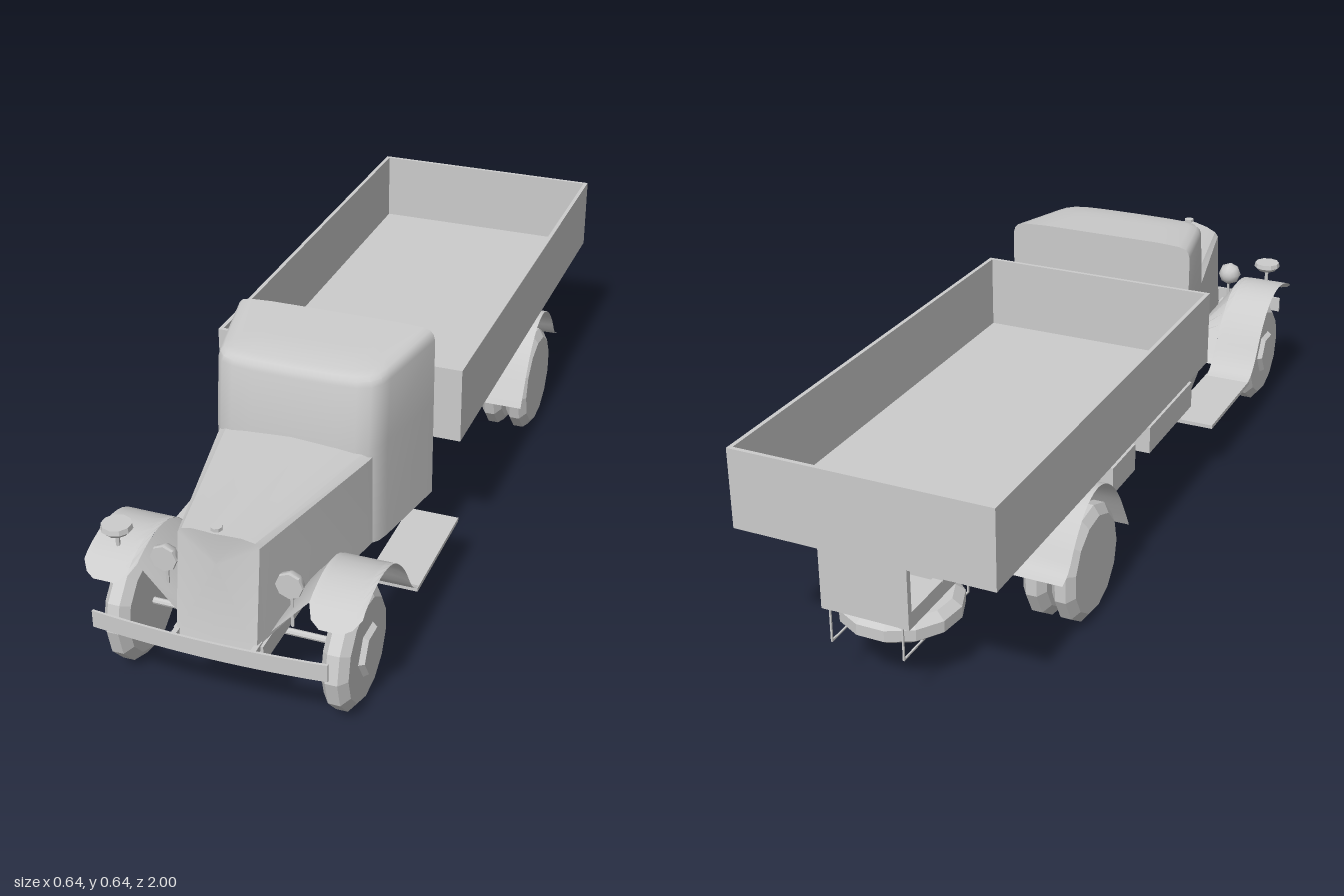
import * as THREE from 'three';
import { toCreasedNormals } from 'three/addons/utils/BufferGeometryUtils.js';

const smooth = new THREE.MeshStandardMaterial({ color: 0xcccccc });
const flat = new THREE.MeshStandardMaterial({ color: 0xcccccc, flatShading: true });
const thin = new THREE.MeshStandardMaterial({ color: 0xcccccc, side: THREE.DoubleSide });

function add(parent, name, geometry, material = flat, x = 0, y = 0, z = 0) {
  const mesh = new THREE.Mesh(geometry, material);
  mesh.name = name;
  mesh.position.set(x, y, z);
  parent.add(mesh);
  return mesh;
}

// Box given by its limits on each axis
function box(parent, name, [x0, x1], [y0, y1], [z0, z1]) {
  return add(parent, name, new THREE.BoxGeometry(x1 - x0, y1 - y0, z1 - z0), flat,
    (x0 + x1) / 2, (y0 + y1) / 2, (z0 + z1) / 2);
}

// Cylinder lying along x
function rod(parent, name, r, x0, x1, y, z, sides = 8) {
  const geometry = new THREE.CylinderGeometry(r, r, x1 - x0, sides).rotateZ(Math.PI / 2);
  return add(parent, name, geometry, flat, (x0 + x1) / 2, y, z);
}

// Skin over rows of [x, y, z] points; closed rows get end caps
function skin(rows, closed, crease = 0.5) {
  const pos = [];
  const tri = (...points) => points.forEach(p => pos.push(...p));
  const n = rows[0].length;
  for (let j = 0; j < rows.length - 1; j++) {
    for (let i = 0; i < (closed ? n : n - 1); i++) {
      const k = (i + 1) % n, a = rows[j], b = rows[j + 1];
      tri(a[i], a[k], b[k]);
      tri(a[i], b[k], b[i]);
    }
  }
  if (closed) {
    [rows[0], rows[rows.length - 1]].forEach((row, end) => {
      const mid = [0, 1, 2].map(c => row.reduce((s, p) => s + p[c], 0) / n);
      row.forEach((p, i) => {
        const q = row[(i + 1) % n];
        if (end) tri(mid, p, q); else tri(mid, q, p);
      });
    });
  }
  const geometry = new THREE.BufferGeometry();
  geometry.setAttribute('position', new THREE.Float32BufferAttribute(pos, 3));
  return toCreasedNormals(geometry, crease);
}

// Smooth curve through [z, y] points
const sideCurve = pts => new THREE.CatmullRomCurve3(pts.map(([z, y]) => new THREE.Vector3(0, y, z)));

function cab() {
  const zb = 0.235;
  const layer = ([y, inset, zf, tilt]) => {
    const f = zf - inset;
    const half = [[0.1, f + 0.008], [0.15, f + 0.003], [0.18, f - 0.008],
      [0.198, f - 0.03], [0.207, f - 0.06], [0.247, zb]]
      .map(([x, z]) => [x * (1 - inset / 0.247), z]);
    const loop = [[0, f + 0.01], ...half, ...half.map(([x, z]) => [-x, z]).reverse()];
    return loop.map(([x, z]) => [x, y - tilt * (z - zb) / 0.25, z]);
  };
  return skin([[0.2, 0, 0.505, 0], [0.45, 0, 0.505, 0], [0.612, 0, 0.485, 0.012], [0.626, 0.004, 0.485, 0.014],
    [0.635, 0.012, 0.485, 0.015], [0.64, 0.03, 0.485, 0.015], [0.643, 0.09, 0.485, 0.012]].map(layer), true, 0.6);
}

// Hood sections run from the windscreen to the pointed radiator front
function hood() {
  const section = ([z, w, bottom, dip, vee, lean]) => {
    const half = [[w, bottom], [w, 0.43], [w * 0.9, 0.441], [w * 0.6, 0.451], [w * 0.25, 0.456]];
    const loop = [[0, bottom - dip], ...half, [0, 0.459],
      ...half.map(([x, y]) => [-x, y]).reverse()];
    return loop.map(([x, y]) =>
      [x, y, z + vee * (1 - Math.abs(x) / w) + lean * (0.459 - y) / 0.26]);
  };
  return skin([[0.47, 0.19, 0.2, 0, 0, 0], [0.51, 0.183, 0.2, 0, 0, 0],
    [0.88, 0.098, 0.2, 0.01, 0.015, 0.03], [0.9, 0.093, 0.19, 0.02, 0.025, 0.037]].map(section), true, 0.35);
}

function wheel(parent, name, x, z, h, hub) {
  const g = new THREE.Group();
  g.name = name;
  const profile = [[0, -h], [0.118, -h], [0.134, -h * 0.6], [0.14, -h * 0.45],
    [0.14, h * 0.45], [0.134, h * 0.6], [0.118, h], [0, h]].map(p => new THREE.Vector2(...p));
  add(g, 'tyre', new THREE.LatheGeometry(profile, 13));
  if (hub) add(g, 'hub', new THREE.CylinderGeometry(0.052, 0.062, 0.014, 6), flat, 0, h + 0.005, 0);
  g.rotation.z = x > 0 ? -Math.PI / 2 : Math.PI / 2;
  g.position.set(x, 0.141, z);
  parent.add(g);
  return g;
}

function frontFender(parent, s) {
  const curve = sideCurve([[0.94, 0.287], [0.89, 0.323], [0.8, 0.345], [0.72, 0.327],
    [0.65, 0.265], [0.6, 0.19], [0.57, 0.16], [0.545, 0.15]]);
  const columns = [[0.198, 0.12], [0.212, 0.04], [0.235, 0], [0.285, 0], [0.305, 0.03], [0.32, 0.09]];
  const rows = columns.map(([x, t0]) => Array.from({ length: 21 }, (_, i) => {
    const p = curve.getPoint(t0 + (1 - t0) * i / 20);
    return [s * x, p.y, p.z];
  }));
  add(parent, 'frontFender', skin(s > 0 ? rows : rows.reverse(), false), thin);
  // Inner apron sloping down to the frame
  const top = Array.from({ length: 13 }, (_, i) => curve.getPoint(0.12 + 0.68 * i / 12));
  const apron = [top.map(p => [s * 0.11, Math.min(p.y, 0.22), p.z]), top.map(p => [s * 0.198, p.y, p.z])];
  add(parent, 'fenderApron', skin(s > 0 ? apron : apron.reverse(), false), thin);
}

function rearFender(parent, s) {
  const pts = sideCurve([[-0.318, 0.145], [-0.34, 0.185], [-0.39, 0.265], [-0.45, 0.32], [-0.508, 0.338],
    [-0.57, 0.32], [-0.63, 0.262], [-0.67, 0.205], [-0.7, 0.19]]).getPoints(24);
  const rows = [0.19, 0.316].map(x => pts.map(p => [s * x, p.y, p.z]));
  add(parent, 'rearFender', skin(s > 0 ? rows.reverse() : rows, false), thin);
}

// Side rail outline in z and y, raised over the rear axle
function rail() {
  const s = new THREE.Shape();
  s.moveTo(0.93, 0.155);
  s.lineTo(0.6, 0.15);
  s.lineTo(-0.3, 0.15);
  s.bezierCurveTo(-0.4, 0.15, -0.38, 0.21, -0.5, 0.21);
  s.bezierCurveTo(-0.6, 0.21, -0.6, 0.197, -0.7, 0.197);
  s.lineTo(-0.995, 0.197);
  s.lineTo(-0.995, 0.235);
  s.lineTo(-0.7, 0.235);
  s.bezierCurveTo(-0.6, 0.235, -0.6, 0.25, -0.5, 0.25);
  s.bezierCurveTo(-0.38, 0.25, -0.4, 0.205, -0.28, 0.205);
  s.lineTo(0.93, 0.2);
  const g = new THREE.ExtrudeGeometry(s, { depth: 0.024, bevelEnabled: false, curveSegments: 8 });
  return g.rotateY(-Math.PI / 2).translate(0.012, 0, 0);
}

export function createModel() {
  const truck = new THREE.Group();
  truck.name = 'truck';

  add(truck, 'cab', cab(), smooth);
  add(truck, 'hood', hood(), smooth);
  add(truck, 'radiatorCapNeck', new THREE.CylinderGeometry(0.007, 0.007, 0.012, 8), flat, 0, 0.458, 0.91);
  add(truck, 'radiatorCap', new THREE.CylinderGeometry(0.013, 0.013, 0.008, 8), flat, 0, 0.465, 0.91);

  // Open cargo bed
  box(truck, 'bedFloor', [-0.31, 0.31], [0.345, 0.352], [-1, 0.22]);
  for (const s of [-1, 1]) {
    const x = s * 0.305;
    box(truck, 'bedSide', [x - 0.005, x + 0.005], [0.345, 0.535], [-1, 0.22]);
  }
  box(truck, 'bedFront', [-0.3, 0.3], [0.345, 0.535], [0.21, 0.22]);
  box(truck, 'tailgate', [-0.3, 0.3], [0.345, 0.535], [-1, -0.99]);
  for (const [z, y] of [[0.064, 0.2], [-0.228, 0.2], [-0.84, 0.23], [-0.991, 0.2]])
    box(truck, 'bedBearer', [-0.105, 0.105], [y, 0.346], [z - 0.007, z + 0.007]);

  // Tool boxes under one side of the bed
  for (const z of [[-0.075, 0.22], [-0.31, -0.17]])
    box(truck, 'toolBox', [-0.27, -0.13], [0.21, 0.28], z);

  // Chassis
  for (const z of [0.86, 0.3, -0.3])
    box(truck, 'crossMember', [-0.09, 0.09], [0.155, 0.195], [z - 0.015, z + 0.015]);
  rod(truck, 'frontAxle', 0.008, -0.23, 0.23, 0.141, 0.79);
  rod(truck, 'rearAxle', 0.013, -0.2, 0.2, 0.141, -0.505);
  add(truck, 'differential', new THREE.SphereGeometry(0.053, 12, 8), smooth, 0, 0.141, -0.505);

  for (const s of [-1, 1]) {
    add(truck, 'frameRail', rail(), flat, s * 0.092, 0, 0);
    box(truck, 'bumperBracket', [s * 0.092 - 0.006, s * 0.092 + 0.006], [0.19, 0.205], [0.92, 0.99]);
    wheel(truck, 'frontWheel', s * 0.256, 0.79, 0.031, true);
    wheel(truck, 'rearOuterWheel', s * 0.284, -0.505, 0.029, false);
    wheel(truck, 'rearInnerWheel', s * 0.213, -0.505, 0.029, false);
    frontFender(truck, s);
    rearFender(truck, s);
    const xs = [s * 0.195, s * 0.32].sort((a, b) => a - b);
    box(truck, 'runningBoard', xs, [0.14, 0.15], [0.25, 0.555]);

    // Headlight on its post
    add(truck, 'headlightPost', new THREE.CylinderGeometry(0.004, 0.004, 0.09, 6), flat, s * 0.145, 0.265, 0.865);
    const bowl = new THREE.SphereGeometry(0.032, 8, 4, 0, Math.PI * 2, 0, Math.PI / 2);
    add(truck, 'headlightBowl', bowl.rotateX(-Math.PI / 2), smooth, s * 0.145, 0.332, 0.875);
    add(truck, 'headlightLens', new THREE.CylinderGeometry(0.031, 0.032, 0.006, 8).rotateX(Math.PI / 2),
      flat, s * 0.145, 0.332, 0.878);

    // Wire cradle for the spare wheel
    const x = s * 0.087;
    box(truck, 'cradleBar', [x - 0.002, x + 0.002], [0.118, 0.122], [-0.995, -0.7]);
    for (const z of [-0.993, -0.702])
      box(truck, 'cradleRod', [x - 0.002, x + 0.002], [0.118, 0.2], [z - 0.002, z + 0.002]);
  }

  const spare = wheel(truck, 'spareWheel', 0, -0.845, 0.03, false);
  spare.rotation.z = 0;
  spare.position.y = 0.155;

  // Bumper curving back at its ends
  const bumper = new THREE.BoxGeometry(0.54, 0.042, 0.006, 12, 1, 1);
  const p = bumper.attributes.position;
  for (let i = 0; i < p.count; i++) p.setZ(i, p.getZ(i) - 0.2 * p.getX(i) ** 2);
  bumper.computeVertexNormals();
  add(truck, 'bumper', bumper, smooth, 0, 0.214, 0.994);

  // Marker lamp on one front fender
  const lamp = new THREE.Group();
  lamp.name = 'fenderLamp';
  lamp.position.set(-0.26, 0, 0.865);
  add(lamp, 'lampStem', new THREE.CylinderGeometry(0.005, 0.005, 0.04, 6), flat, 0, 0.35, 0);
  add(lamp, 'lampBase', new THREE.CylinderGeometry(0.034, 0.026, 0.01, 10), flat, 0, 0.371, 0);
  add(lamp, 'lampTop', new THREE.CylinderGeometry(0.034, 0.036, 0.012, 10), flat, 0, 0.382, 0);
  truck.add(lamp);

  return truck;
}
